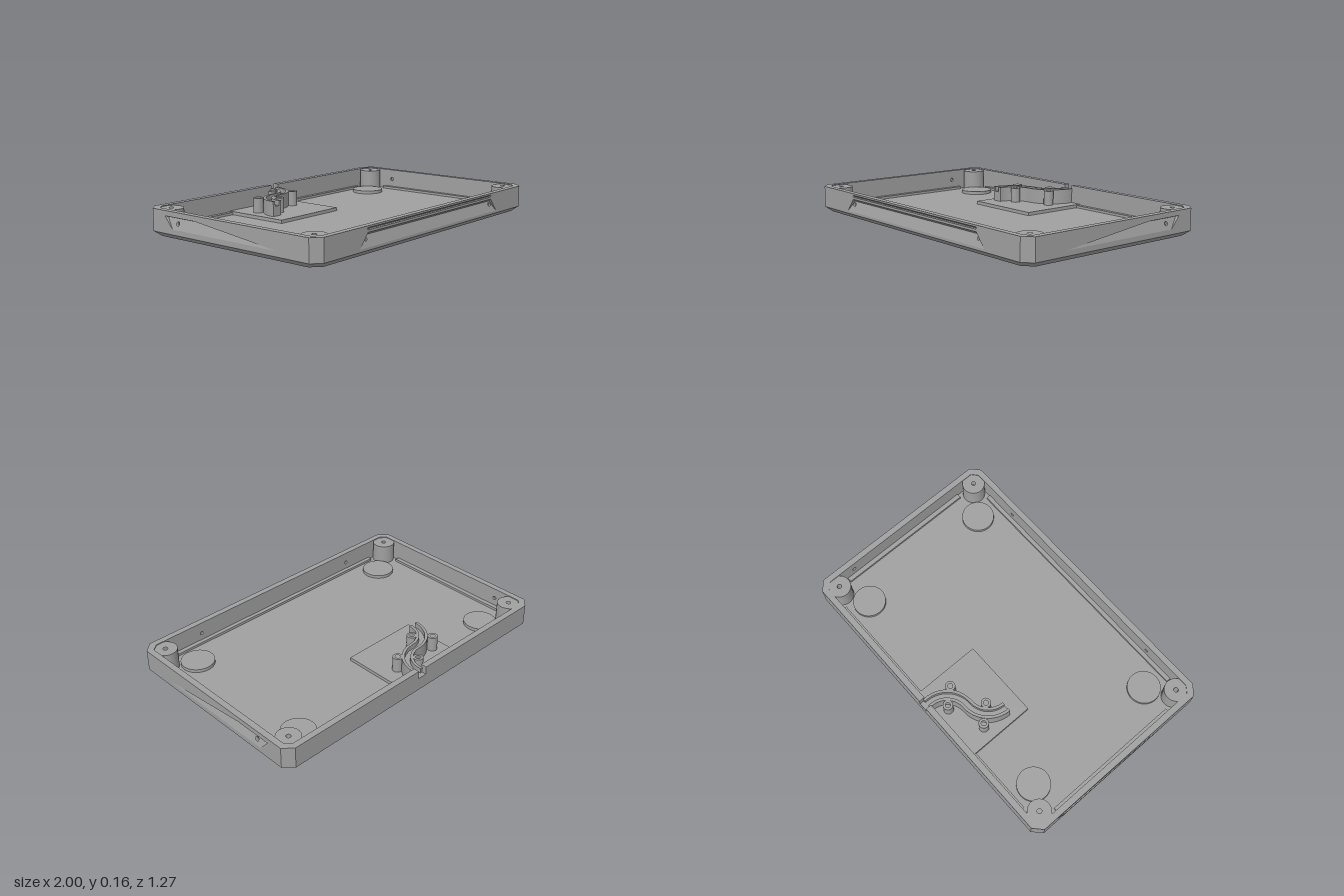
import * as THREE from 'three';
import { toCreasedNormals } from 'three/addons/utils/BufferGeometryUtils.js';

const grey = new THREE.MeshStandardMaterial({ color: 0xa0a0a0 });
grey.name = 'plain grey';

const H = 0.16, FLOOR = 0.03, HX = 1, HZ = 0.633, SKIN = 0.022, WALL = 0.037;
const CX = 0.055, CZ = 0.05; // corner cut

function shapeOf(points, holes = []) {
  const s = new THREE.Shape(points.map(([x, y]) => new THREE.Vector2(x, y)));
  s.holes = holes.map(h => new THREE.Path(h.map(([x, y]) => new THREE.Vector2(x, y))));
  return s;
}

function circle(x, y, r, n = 40) {
  return Array.from({ length: n }, (_, i) => {
    const a = i / n * Math.PI * 2;
    return [x + r * Math.cos(a), y + r * Math.sin(a)];
  });
}

function add(parent, name, geometry) {
  const mesh = new THREE.Mesh(geometry, grey);
  mesh.name = name;
  parent.add(mesh);
  return mesh;
}

// Upright prism from an outline given in x, z
function prism(points, y0, y1, holes = []) {
  const flip = list => list.map(([x, z]) => [x, -z]);
  const g = new THREE.ExtrudeGeometry(shapeOf(flip(points), holes.map(flip)),
    { depth: y1 - y0, bevelEnabled: false });
  g.rotateX(-Math.PI / 2).translate(0, y0, 0);
  return toCreasedNormals(g, 0.5);
}

function rect(x0, x1, z0, z1) {
  return [[x0, z0], [x1, z0], [x1, z1], [x0, z1]];
}

function octagon(inset) {
  const x = HX - inset, z = HZ - inset;
  return [[x, z - CZ], [x - CX, z], [CX - x, z], [-x, z - CZ],
    [-x, CZ - z], [CX - x, -z], [x - CX, -z], [x, CZ - z]];
}

// Floor slab whose outer lower edge is chamfered
function baseGeometry() {
  const g = prism(octagon(0), 0, FLOOR);
  const p = g.attributes.position;
  for (let i = 0; i < p.count; i++) {
    if (p.getY(i) < 0.001) {
      p.setX(i, p.getX(i) - Math.sign(p.getX(i)) * 0.035);
      p.setZ(i, p.getZ(i) - Math.sign(p.getZ(i)) * 0.035);
    }
  }
  g.computeVertexNormals();
  return g;
}

// Recess face sloping from depth d0 at its lowest edge to d1 at its highest
function slope(points, d0, d1, holes) {
  const ys = points.map(p => p[1]);
  const lo = Math.min(...ys), hi = Math.max(...ys);
  const g = new THREE.ShapeGeometry(shapeOf(points, holes));
  const p = g.attributes.position;
  for (let i = 0; i < p.count; i++) {
    p.setZ(i, -(d0 + (d1 - d0) * (p.getY(i) - lo) / (hi - lo)));
  }
  g.computeVertexNormals();
  return g;
}

// Wall of two layers: outer skin with recess openings, inner skin with screw holes
function wall(name, outline, openings, screws, angle, distance) {
  const group = new THREE.Group();
  group.name = name;
  const layer = (holes, from, to) => new THREE.ExtrudeGeometry(shapeOf(outline, holes),
    { depth: to - from, bevelEnabled: false }).translate(0, 0, from);
  add(group, 'outerSkin', layer(openings, -SKIN, 0));
  add(group, 'innerSkin', layer(screws, -WALL, -SKIN));
  group.rotation.y = angle;
  group.position.set(Math.sin(angle) * distance, 0, Math.cos(angle) * distance);
  return group;
}

// Outline of a band along the S-shaped channel, between two sideways offsets
function channelBand(o1, o2) {
  const line = o => {
    const pts = [[-0.005 + o, -0.605]];
    for (let i = 0; i <= 16; i++) {
      const a = i / 16 * Math.PI / 2, r = 0.16 + o;
      pts.push([-0.165 + r * Math.cos(a), -0.59 + r * Math.sin(a)]);
    }
    for (let i = 1; i <= 16; i++) {
      const a = -Math.PI / 2 * (1 + i / 16), r = 0.16 - o;
      pts.push([-0.165 + r * Math.cos(a), -0.27 + r * Math.sin(a)]);
    }
    return pts;
  };
  return [...line(o1), ...line(o2).reverse()];
}

export function createModel() {
  const model = new THREE.Group();
  model.name = 'enclosureTray';
  add(model, 'base', baseGeometry());

  // Front wall with a sloping recess and a slot above it
  const fx = HX - CX, sz = HZ - CZ;
  const frontScrews = [-0.605, 0.605].map(x => circle(x, 0.09, 0.011, 20));
  const slot = rect(-0.6, 0.6, 0.138, 0.15);
  const front = wall('frontWall', rect(-fx, fx, FLOOR, H),
    [[[-0.665, 0.045], [0.665, 0.045], [0.6, 0.125], [-0.6, 0.125]], slot],
    frontScrews, 0, HZ);
  add(front, 'recessFace',
    slope([[-0.665, 0.045], [0.665, 0.045], [0.612, 0.11], [-0.612, 0.11]], 0, 0.02, frontScrews));
  add(front, 'recessLip',
    slope([[-0.612, 0.11], [0.612, 0.11], [0.6, 0.125], [-0.6, 0.125]], 0.02, 0));
  add(front, 'slotFace', slope(slot, 0.018, 0));
  model.add(front);

  // Back wall with the channel's notch
  model.add(wall('backWall', [[-fx, FLOOR], [fx, FLOOR], [fx, H], [0.035, H], [0.035, 0.11],
    [-0.025, 0.11], [-0.025, H], [-fx, H]], [], [], Math.PI, HZ));

  // Side walls with wedge recesses
  for (const s of [1, -1]) {
    const m = list => list.map(([u, y]) => [s * u, y]);
    const screw = m(circle(0.385, 0.095, 0.012, 20));
    const side = wall(s > 0 ? 'leftWall' : 'rightWall', rect(-sz, sz, FLOOR, H),
      [m([[-0.37, 0.06], [0.42, 0.06], [0.48, 0.13], [0.24, 0.13]])],
      [screw], s * Math.PI / 2, HX);
    add(side, 'recessFace',
      slope(m([[-0.37, 0.06], [0.42, 0.06], [0.474, 0.123], [0.18, 0.123]]), 0, 0.02, [screw]));
    add(side, 'recessLip',
      slope(m([[0.18, 0.123], [0.474, 0.123], [0.48, 0.13], [0.24, 0.13]]), 0.02, 0));
    model.add(side);
    // Ledges at the foot of the side walls
    add(model, 'sideLedge', prism(rect(s * 0.935, s * 0.965, -0.445, 0.445), FLOOR, 0.045));
    add(model, 'endLedge', prism(rect(-0.82, 0.82, s * 0.57, s * 0.598), FLOOR, 0.045));
  }

  // Corners: cut wall, screw boss and floor disc
  for (const sx of [1, -1]) for (const sz2 of [1, -1]) {
    const m = list => list.map(([x, z]) => [sx * x, sz2 * z]);
    add(model, 'cornerWall',
      prism(m([[fx, HZ], [HX, sz], [HX - WALL, 0.565], [0.925, HZ - WALL]]), FLOOR, H));
    add(model, 'screwBoss',
      prism(m(circle(0.905, 0.535, 0.07)), FLOOR, 0.155, [m(circle(0.905, 0.535, 0.014, 20))]));
    add(model, 'floorDisc', prism(m(circle(0.755, 0.44, 0.1, 56)), FLOOR, 0.05));
  }

  // Cable channel on its raised plate
  add(model, 'channelPlate', prism(rect(-0.4, 0.1, -0.598, -0.165), FLOOR, 0.05));
  add(model, 'channelBase', prism(channelBand(-0.033, 0.033), 0.05, 0.11));
  add(model, 'channelWall', prism(channelBand(-0.033, -0.016), 0.11, 0.14));
  add(model, 'channelWall', prism(channelBand(0.016, 0.033), 0.11, 0.14));
  for (const [x, z] of [[-0.315, -0.435], [-0.095, -0.52], [-0.015, -0.435], [-0.23, -0.345]]) {
    add(model, 'channelPeg', prism(circle(x, z, 0.03, 28), 0.05, 0.14, [circle(x, z, 0.015, 20)]));
  }
  return model;
}
